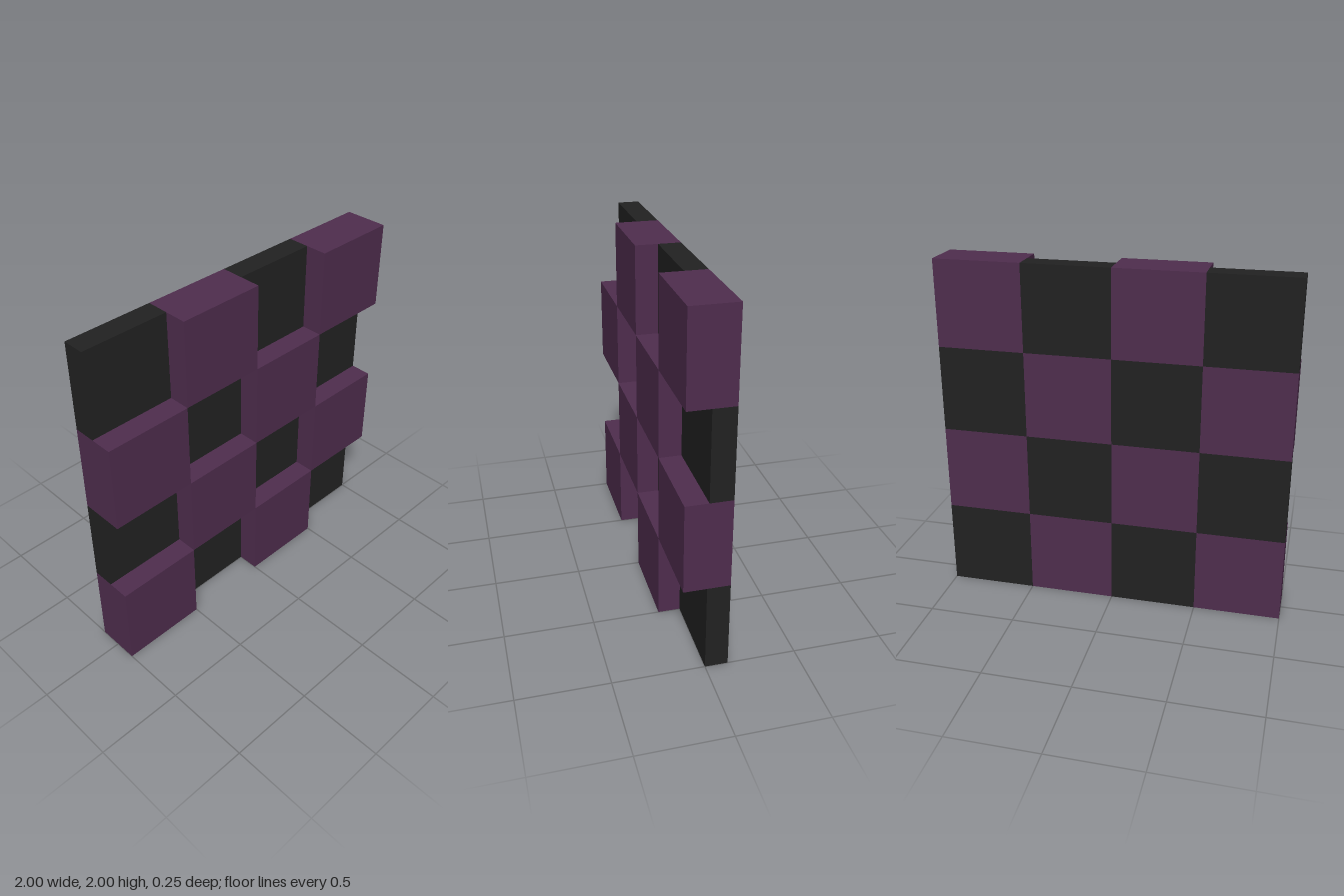
import * as THREE from 'three';

export function createModel() {
  const group = new THREE.Group();
  group.name = 'checkeredPanel';

  const purple = new THREE.MeshStandardMaterial({ color: 0x4f2d4e });
  purple.name = 'plum purple';
  const black = new THREE.MeshStandardMaterial({ color: 0x222222 });
  black.name = 'charcoal black';

  const count = 4, size = 0.5, back = -0.125;
  const raisedDepth = 0.25, recessedDepth = 0.125;
  const raisedBlock = new THREE.BoxGeometry(size, size, raisedDepth);
  const recessedBlock = new THREE.BoxGeometry(size, size, recessedDepth);

  // Checkerboard of thick and thin blocks sharing one flat back
  for (let row = 0; row < count; row++) {
    for (let col = 0; col < count; col++) {
      const raised = (row + col) % 2 === 0;
      const block = new THREE.Mesh(raised ? raisedBlock : recessedBlock, raised ? purple : black);
      block.name = raised ? 'raisedBlock' : 'recessedBlock';
      block.position.set(
        (col + 0.5) * size - 1,
        (row + 0.5) * size,
        back + (raised ? raisedDepth : recessedDepth) / 2
      );
      group.add(block);
    }
  }
  return group;
}
